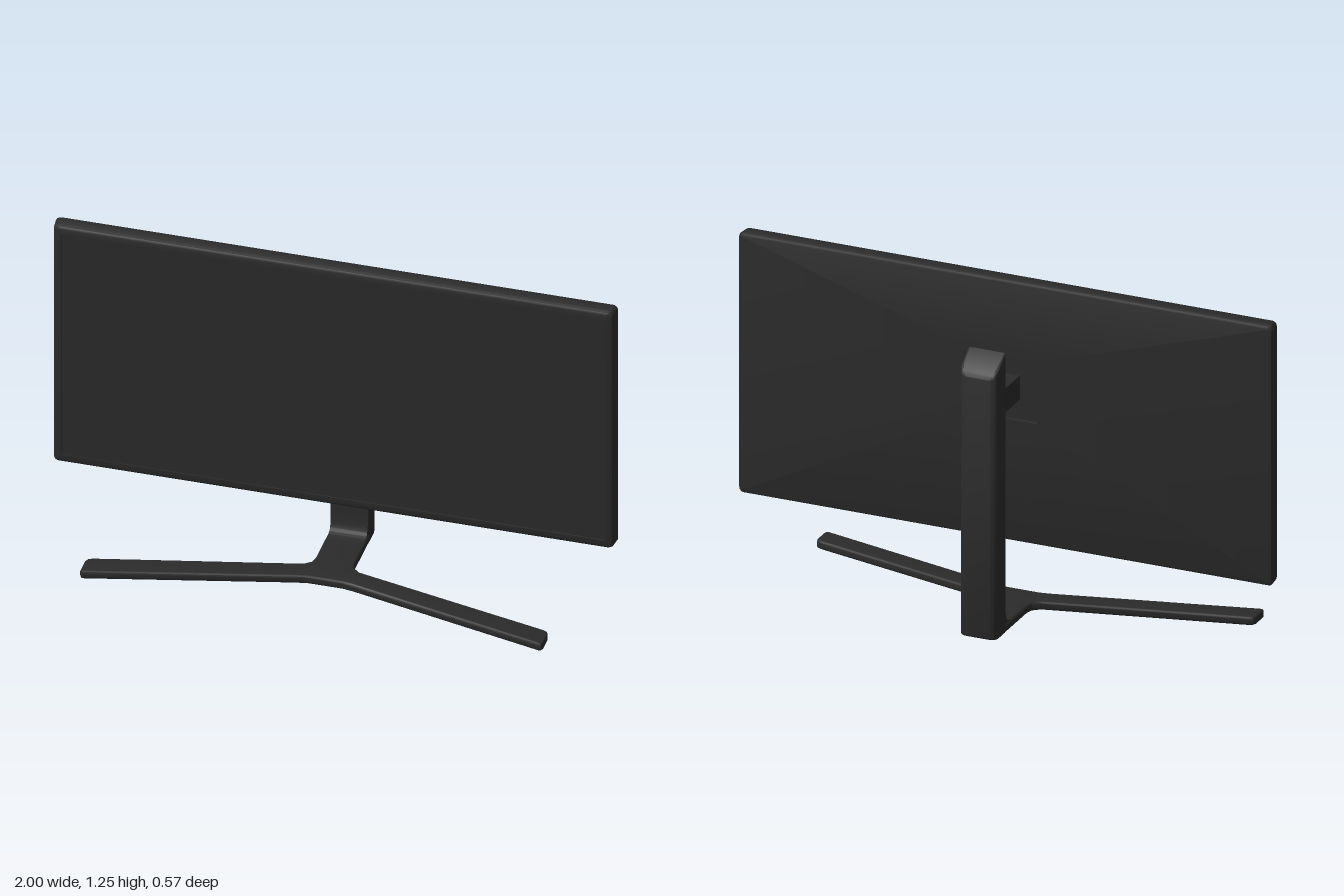
import * as THREE from 'three';
import { toCreasedNormals } from 'three/addons/utils/BufferGeometryUtils.js';

// Points of a rounded rectangle, counter-clockwise, centred on (0, cy)
function roundedRing(hw, hh, r, cy, steps = 4) {
  const pts = [];
  [[1, 1], [-1, 1], [-1, -1], [1, -1]].forEach(([sx, sy], q) => {
    for (let i = 0; i <= steps; i++) {
      const a = (q + i / steps) * Math.PI / 2;
      pts.push([sx * (hw - r) + r * Math.cos(a), cy + sy * (hh - r) + r * Math.sin(a)]);
    }
  });
  return pts;
}

// Skin a run of rings; each section is [halfWidth, halfHeight, radius, centreY, z]
function loft(sections) {
  const pos = [], idx = [];
  let n = 0;
  for (const [hw, hh, r, cy, z] of sections) {
    const ring = roundedRing(hw, hh, r, cy);
    n = ring.length;
    for (const [x, y] of ring) pos.push(x, y, z);
  }
  for (let i = 0; i < sections.length - 1; i++) {
    for (let j = 0; j < n; j++) {
      const k = (j + 1) % n;
      const a = i * n + j, b = i * n + k, c = b + n, d = a + n;
      idx.push(a, b, c, a, c, d);
    }
  }
  const g = new THREE.BufferGeometry();
  g.setAttribute('position', new THREE.Float32BufferAttribute(pos, 3));
  g.setIndex(idx);
  return toCreasedNormals(g, 0.6);
}

// Extrude a floor plan (shape y = -z) upward from y = 0 with soft edges
function extrudeUp(shape, height, bevel) {
  const g = new THREE.ExtrudeGeometry(shape, {
    depth: height - 2 * bevel, bevelEnabled: true, bevelThickness: bevel,
    bevelSize: bevel, bevelOffset: -bevel, bevelSegments: 3, curveSegments: 8,
  });
  g.translate(0, 0, bevel);
  g.rotateX(-Math.PI / 2);
  return g;
}

export function createModel() {
  const group = new THREE.Group();
  const plastic = new THREE.MeshStandardMaterial({ color: 0x2b2b2b });
  plastic.name = 'dark plastic';
  const add = (name, geometry) => {
    const mesh = new THREE.Mesh(geometry, plastic);
    mesh.name = name;
    group.add(mesh);
  };

  // Display housing: from the rear mount recess, round the rim, to the bezel
  const cy = 0.76, my = 0.843;
  add('displayHousing', loft([
    [0, 0, 0, my, -0.04],
    [0.12, 0.115, 0.004, my, -0.04],
    [0.12, 0.115, 0.004, my, -0.055],
    [0.987, 0.473, 0.012, cy, -0.055],
    [0.996, 0.481, 0.016, cy, -0.051],
    [1.0, 0.485, 0.018, cy, -0.043],
    [0.996, 0.485, 0.018, cy, -0.004],
    [0.992, 0.481, 0.016, cy, 0.005],
    [0.982, 0.473, 0.012, cy, 0.01],
    [0.966, 0.452, 0.003, cy, 0.01],
    [0.966, 0.452, 0.003, cy, 0.004],
  ]));

  // Screen, set slightly back inside the bezel
  add('screen', new THREE.PlaneGeometry(1.932, 0.904).translate(0, cy, 0.004));

  // Arm joining the display to the column
  add('mountArm', new THREE.BoxGeometry(0.1, 0.09, 0.18).translate(0, 0.846, -0.13));

  // Column with rounded rear corners and a top that slopes down to the rear
  const plan = new THREE.Shape();
  plan.moveTo(-0.062, 0.2);
  plan.lineTo(0.062, 0.2);
  plan.quadraticCurveTo(0.07, 0.2, 0.07, 0.208);
  plan.lineTo(0.07, 0.255);
  plan.quadraticCurveTo(0.07, 0.286, 0.04, 0.286);
  plan.lineTo(-0.04, 0.286);
  plan.quadraticCurveTo(-0.07, 0.286, -0.07, 0.255);
  plan.lineTo(-0.07, 0.208);
  plan.quadraticCurveTo(-0.07, 0.2, -0.062, 0.2);
  const column = extrudeUp(plan, 1.045, 0.006);
  const p = column.attributes.position;
  for (let i = 0; i < p.count; i++) {
    if (p.getY(i) < 0.5) continue;
    const back = Math.max(0, -0.2 - p.getZ(i));
    p.setY(i, p.getY(i) - back * 0.75 - Math.max(0, back - 0.07) * 0.9);
  }
  add('column', toCreasedNormals(column, 0.6));

  // Y-shaped foot: a stem and two splayed legs
  const half = [
    [0.07, -0.25], [0.07, -0.02], [0.076, 0.005], [0.1, 0.025], [0.8, 0.192],
    [0.817, 0.2], [0.823, 0.215], [0.823, 0.272], [0.817, 0.284], [0.805, 0.283],
    [0.1, 0.109], [0.06, 0.102],
  ];
  const outline = [...half, ...half.map(([x, z]) => [-x, z]).reverse()];
  const footShape = new THREE.Shape(outline.map(([x, z]) => new THREE.Vector2(x, -z)));
  add('foot', toCreasedNormals(extrudeUp(footShape, 0.031, 0.008), 0.6));

  // Curved fillet between stem and column
  const web = new THREE.Shape();
  web.moveTo(-0.22, 0.02);
  web.lineTo(-0.15, 0.02);
  web.lineTo(-0.15, 0.031);
  web.quadraticCurveTo(-0.183, 0.034, -0.188, 0.05);
  web.quadraticCurveTo(-0.199, 0.07, -0.2, 0.145);
  web.lineTo(-0.22, 0.145);
  const fillet = new THREE.ExtrudeGeometry(web, { depth: 0.132, bevelEnabled: false, curveSegments: 8 });
  fillet.translate(0, 0, -0.066).rotateY(-Math.PI / 2);
  add('columnFillet', toCreasedNormals(fillet, 0.6));

  return group;
}
